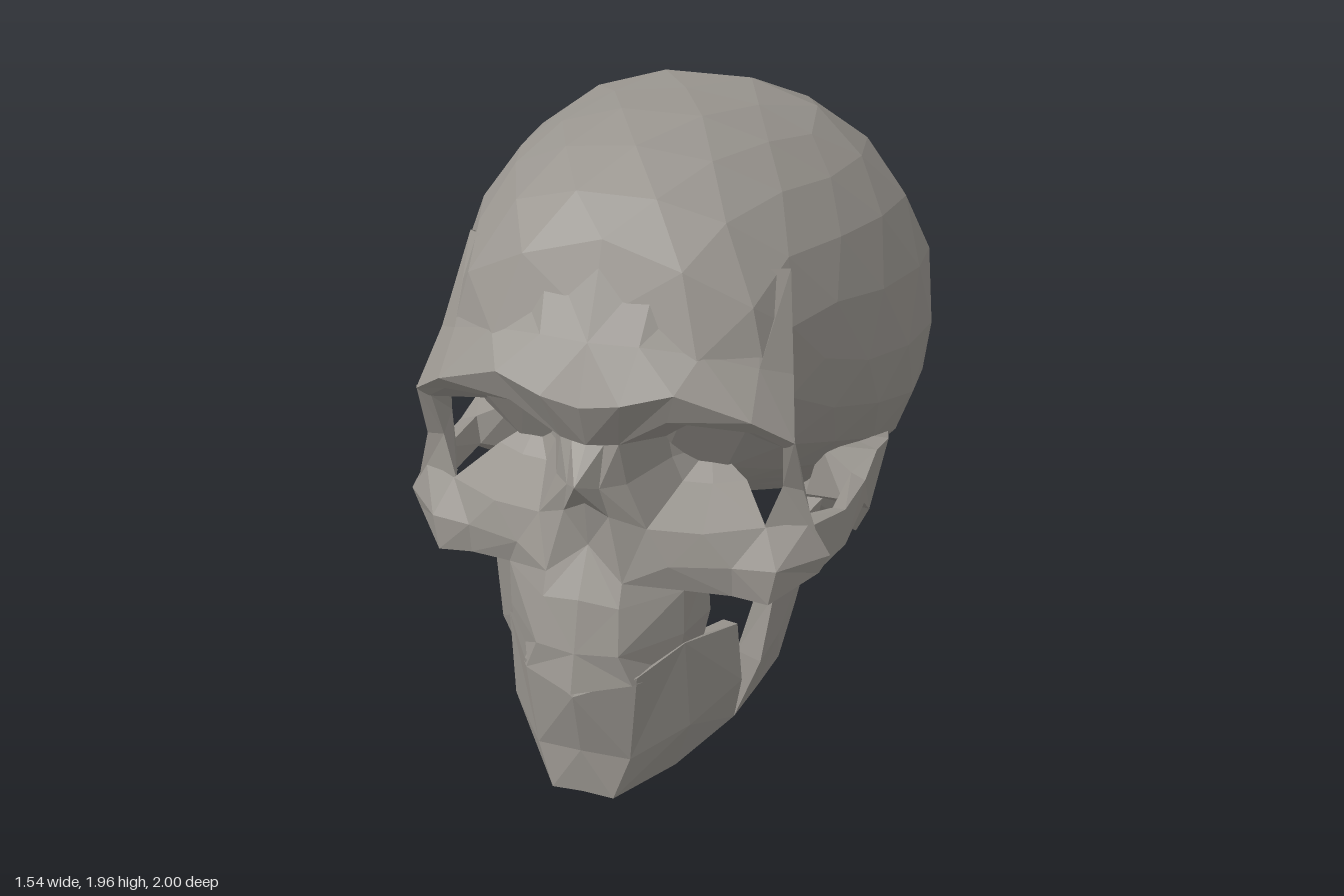
import * as THREE from 'three';

const bone = new THREE.MeshStandardMaterial({ color: 0x99958f, side: THREE.DoubleSide });
bone.name = 'bone';

// Faceted skin over rows of points; closed rows wrap around.
function loft(rows, closed = false, mirror = false) {
  const pos = [];
  const tri = (a, b, c) => {
    const [A, B, C] = [a, b, c].map(p => new THREE.Vector3(...p));
    if (B.clone().sub(A).cross(C.clone().sub(A)).length() < 1e-7) return;
    for (const p of mirror ? [A, C, B] : [A, B, C]) pos.push(mirror ? -p.x : p.x, p.y, p.z);
  };
  for (let i = 0; i < rows.length - 1; i++) {
    const n = rows[i].length;
    for (let j = 0; j < (closed ? n : n - 1); j++) {
      const k = (j + 1) % n;
      const a = rows[i][j], b = rows[i][k], c = rows[i + 1][k], d = rows[i + 1][j];
      if (i % 2) { tri(a, d, c); tri(a, c, b); } else { tri(a, d, b); tri(d, c, b); }
    }
  }
  const g = new THREE.BufferGeometry();
  g.setAttribute('position', new THREE.Float32BufferAttribute(pos, 3));
  g.computeVertexNormals();
  return g;
}

function addPair(group, name, rows, closed = false) {
  for (const mirror of [false, true]) {
    const m = new THREE.Mesh(loft(rows, closed, mirror), bone);
    m.name = (mirror ? 'right' : 'left') + name;
    group.add(m);
  }
}

// Braincase: a faceted ball pushed onto cross-sections set along z.
function braincase() {
  // z, half width, height of widest point, top, bottom
  const stations = [
    [0.80, 0, 1.36, 1.36, 1.36],
    [0.77, 0.34, 1.34, 1.50, 1.28],
    [0.67, 0.50, 1.32, 1.74, 1.24],
    [0.48, 0.54, 1.38, 1.90, 0.84],
    [0.22, 0.66, 1.26, 1.97, 0.76],
    [-0.05, 0.74, 1.20, 1.97, 0.62],
    [-0.32, 0.775, 1.17, 1.965, 0.44],
    [-0.54, 0.74, 1.16, 1.89, 0.42],
    [-0.72, 0.64, 1.15, 1.77, 0.47],
    [-0.86, 0.50, 1.14, 1.61, 0.59],
    [-0.95, 0.32, 1.13, 1.41, 0.79],
    [-1.0, 0, 1.13, 1.13, 1.13],
  ];
  const g = new THREE.IcosahedronGeometry(1, 3);
  const p = g.attributes.position;
  for (let i = 0; i < p.count; i++) {
    const z = THREE.MathUtils.clamp(-0.1 + 0.9 * p.getZ(i), -1, 0.8);
    const k = Math.max(1, stations.findIndex(s => s[0] <= z));
    const [s0, s1] = [stations[k - 1], stations[k]];
    const t = (s0[0] - z) / (s0[0] - s1[0]);
    const [, w, cy, top, bot] = s0.map((v, n) => v + (s1[n] - v) * t);
    const a = Math.atan2(p.getY(i), p.getX(i));
    const c = Math.cos(a), s = Math.sin(a);
    const e = s < 0 ? 0.88 : 0.94;
    p.setXYZ(i, w * Math.sign(c) * Math.abs(c) ** e,
      cy + (s > 0 ? top - cy : cy - bot) * Math.sign(s) * Math.abs(s) ** e, z);
  }
  g.computeVertexNormals();
  const m = new THREE.Mesh(g, bone);
  m.name = 'braincase';
  return m;
}

export function createModel() {
  const skull = new THREE.Group();
  skull.name = 'skull';
  skull.add(braincase());

  // Forehead and brow ridge, ending at the temple crest that folds back inwards
  addPair(skull, 'Brow', [
    [[0, 1.72, 0.67], [0.17, 1.70, 0.65], [0.33, 1.67, 0.59], [0.43, 1.65, 0.52], [0.50, 1.64, 0.46], [0.46, 1.61, 0.40]],
    [[0, 1.48, 0.80], [0.15, 1.48, 0.785], [0.32, 1.46, 0.74], [0.47, 1.41, 0.67], [0.55, 1.37, 0.59], [0.49, 1.36, 0.46]],
    [[0, 1.31, 0.88], [0.12, 1.33, 0.875], [0.27, 1.37, 0.84], [0.48, 1.29, 0.78], [0.59, 1.21, 0.71], [0.51, 1.21, 0.48]],
    [[0, 1.17, 0.83], [0.09, 1.17, 0.80], [0.24, 1.27, 0.81], [0.48, 1.24, 0.74], [0.56, 1.18, 0.69], [0.50, 1.17, 0.50]],
  ]);

  // Eye socket lining, open toward the temple
  const rim = [[0.56, 1.18, 0.69], [0.48, 1.24, 0.74], [0.24, 1.27, 0.81], [0.09, 1.17, 0.80],
    [0.11, 1.04, 0.79], [0.17, 0.90, 0.79], [0.33, 0.89, 0.75], [0.50, 0.90, 0.67]];
  const apex = [0.28, 1.06, 0.50];
  const toward = t => rim.map(p => p.map((v, k) => v + (apex[k] - v) * t));
  addPair(skull, 'EyeSocket', [rim, toward(0.45).map(([x, y, z]) => [x, y, z - 0.06]), toward(1)]);

  // Post of bone at the outer side of the socket
  addPair(skull, 'SocketPost', [
    [[0.55, 1.18, 0.69], [0.59, 1.22, 0.71], [0.54, 1.20, 0.57]],
    [[0.54, 1.03, 0.64], [0.60, 1.02, 0.63], [0.56, 1.06, 0.53]],
    [[0.49, 0.89, 0.67], [0.65, 0.84, 0.61], [0.58, 0.87, 0.47]],
  ], true);

  // Nasal bones
  addPair(skull, 'Nose', [
    [[0, 1.17, 0.83], [0.05, 1.17, 0.815], [0.09, 1.17, 0.80]],
    [[0, 1.08, 0.93], [0.05, 1.05, 0.86], [0.11, 1.04, 0.79]],
    [[0, 0.99, 0.85], [0.07, 0.95, 0.84], [0.17, 0.90, 0.79]],
  ]);

  // Cheek sheet
  addPair(skull, 'Cheek', [
    [[0, 0.99, 0.85], [0.07, 0.95, 0.84], [0.17, 0.90, 0.79], [0.33, 0.89, 0.75], [0.50, 0.90, 0.67], [0.62, 0.91, 0.61]],
    [[0, 0.84, 0.83], [0.12, 0.75, 0.87], [0.24, 0.79, 0.80], [0.42, 0.79, 0.75], [0.55, 0.79, 0.73], [0.68, 0.80, 0.60]],
    [[0, 0.70, 0.92], [0.12, 0.68, 0.90], [0.28, 0.70, 0.77], [0.42, 0.69, 0.74], [0.53, 0.68, 0.74], [0.65, 0.74, 0.61]],
    [[0, 0.70, 0.90], [0.12, 0.70, 0.86], [0.27, 0.74, 0.62], [0.40, 0.76, 0.66], [0.51, 0.74, 0.65], [0.62, 0.76, 0.57]],
  ]);

  // Upper jaw with tooth ridge and palate
  addPair(skull, 'UpperJaw', [
    [[0, 0.70, 0.92], [0.12, 0.68, 0.90], [0.28, 0.70, 0.77], [0.30, 0.71, 0.60], [0.26, 0.71, 0.48]],
    [[0, 0.54, 0.965], [0.13, 0.54, 0.94], [0.28, 0.55, 0.77], [0.31, 0.54, 0.60], [0.26, 0.55, 0.46]],
    [[0, 0.42, 1.00], [0.17, 0.44, 0.93], [0.26, 0.42, 0.78], [0.28, 0.40, 0.60], [0.24, 0.40, 0.46]],
    [[0, 0.44, 0.90], [0.10, 0.46, 0.85], [0.17, 0.46, 0.74], [0.20, 0.46, 0.60], [0.18, 0.46, 0.46]],
    [[0, 0.56, 0.85], [0, 0.58, 0.80], [0, 0.60, 0.72], [0, 0.60, 0.60], [0, 0.60, 0.48]],
  ]);

  // Wall joining the upper jaw to the base of the braincase
  addPair(skull, 'JawWall', [
    [[0.30, 0.90, 0.72], [0.30, 0.95, 0.48], [0.24, 0.84, 0.28], [0.14, 0.84, 0.32]],
    [[0.28, 0.70, 0.77], [0.30, 0.71, 0.60], [0.26, 0.64, 0.38], [0.16, 0.64, 0.42]],
    [[0.28, 0.55, 0.77], [0.29, 0.52, 0.60], [0.24, 0.42, 0.43], [0.18, 0.46, 0.45]],
  ]);

  // Cheek arch, ear root and mastoid, running backwards
  addPair(skull, 'CheekArch', [
    [[0.63, 0.73, 0.63], [0.63, 0.90, 0.61], [0.52, 0.89, 0.60], [0.54, 0.73, 0.64]],
    [[0.685, 0.74, 0.42], [0.68, 0.86, 0.42], [0.64, 0.86, 0.42], [0.64, 0.75, 0.42]],
    [[0.69, 0.77, 0.20], [0.69, 0.85, 0.20], [0.64, 0.86, 0.18], [0.62, 0.77, 0.20]],
    [[0.67, 0.65, 0.02], [0.69, 0.88, 0.04], [0.52, 0.90, 0.10], [0.46, 0.68, 0.04]],
    [[0.61, 0.51, -0.07], [0.70, 0.86, -0.09], [0.52, 0.86, -0.09], [0.42, 0.54, -0.08]],
    [[0.46, 0.50, -0.36], [0.64, 0.76, -0.36], [0.42, 0.80, -0.36], [0.30, 0.48, -0.36]],
  ], true);

  // Lower jaw body, from chin to molars: outer bottom, middle, top, then inner side
  addPair(skull, 'LowerJaw', [
    [[0, 0.01, 0.92], [0, 0.17, 0.93], [0, 0.40, 0.985], [0, 0.40, 0.87], [0, 0.03, 0.74]],
    [[0.10, 0.005, 0.92], [0.15, 0.15, 0.90], [0.18, 0.46, 0.915], [0.10, 0.45, 0.82], [0.09, 0.03, 0.73]],
    [[0.23, 0.01, 0.70], [0.29, 0.20, 0.74], [0.285, 0.52, 0.775], [0.20, 0.46, 0.72], [0.17, 0.04, 0.62]],
    [[0.35, 0.06, 0.46], [0.38, 0.22, 0.48], [0.36, 0.42, 0.47], [0.31, 0.42, 0.46], [0.29, 0.08, 0.42]],
  ], true);

  // Rising branch of the lower jaw, notched at the top
  addPair(skull, 'JawBranch', [
    Array(6).fill([0.45, 0.62, 0.24]),
    [[0.46, 0.74, 0.42], [0.47, 0.66, 0.26], [0.52, 0.68, 0.05], [0.44, 0.68, 0.06], [0.43, 0.66, 0.26], [0.42, 0.74, 0.41]],
    [[0.47, 0.53, 0.45], [0.48, 0.52, 0.27], [0.50, 0.54, 0.09], [0.45, 0.54, 0.10], [0.44, 0.52, 0.27], [0.41, 0.53, 0.43]],
    [[0.44, 0.30, 0.48], [0.45, 0.30, 0.30], [0.46, 0.32, 0.14], [0.40, 0.32, 0.15], [0.39, 0.30, 0.29], [0.35, 0.30, 0.44]],
    [[0.35, 0.06, 0.46], [0.39, 0.10, 0.32], [0.42, 0.13, 0.18], [0.37, 0.13, 0.19], [0.34, 0.10, 0.31], [0.29, 0.08, 0.42]],
    Array(6).fill([0.36, 0.10, 0.31]),
  ], true);

  return skull;
}
